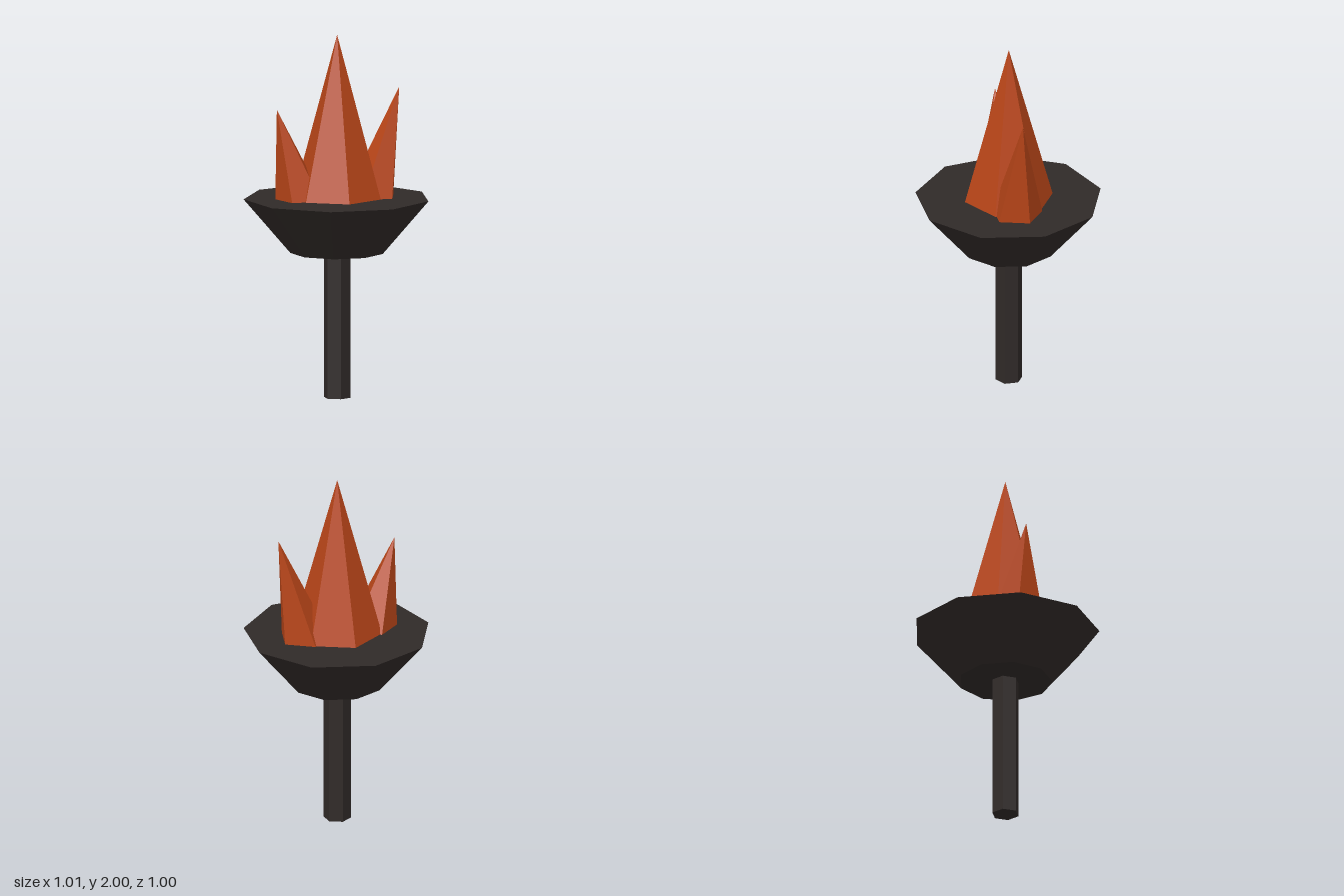
import * as THREE from 'three';

const AXIS_Z = 0.014; // the torch axis sits slightly forward of the origin
const RIM_Y = 1.1;

export function createModel() {
  const torch = new THREE.Group();
  torch.name = 'torch';

  const iron = new THREE.MeshStandardMaterial({ color: 0x302a28, flatShading: true });
  const fire = new THREE.MeshStandardMaterial({ color: 0xb84518, flatShading: true });

  const add = (name, geometry, material, x, y) => {
    const mesh = new THREE.Mesh(geometry, material);
    mesh.name = name;
    mesh.position.set(x, y, AXIS_Z);
    torch.add(mesh);
  };

  // Hexagonal handle
  add('handle', new THREE.CylinderGeometry(0.075, 0.075, 0.82, 6), iron, 0, 0.41);

  // Nine-sided flared bowl with a closed top, one corner pointing back
  const bowl = new THREE.CylinderGeometry(0.513, 0.256, 0.3, 9).rotateY(Math.PI);
  add('bowl', bowl, iron, 0, 0.95);

  // Faceted flame tongue: a cone whose tip leans sideways; its foot sinks a little into the bowl
  const addFlame = (name, sides, radius, x, tipX, tipY) => {
    const height = tipY - RIM_Y;
    const sink = 0.03;
    const scale = (height + sink) / height;
    const cone = new THREE.ConeGeometry(radius * scale, height * scale, sides);
    cone.rotateY(Math.PI).translate(0, (height - sink) / 2, 0);
    const lean = new THREE.Matrix4().makeShear((tipX - x) / height, 0, 0, 0, 0, 0);
    // shear x by y: write the term directly so the lean axis is unambiguous
    lean.identity().elements[4] = (tipX - x) / height;
    cone.applyMatrix4(lean);
    add(name, cone, fire, x, RIM_Y);
  };

  addFlame('mainFlame', 6, 0.245, 0, 0, 2);
  addFlame('leftFlame', 5, 0.143, 0.195, 0.352, 1.7);
  addFlame('rightFlame', 5, 0.14, -0.205, -0.342, 1.6);

  return torch;
}
